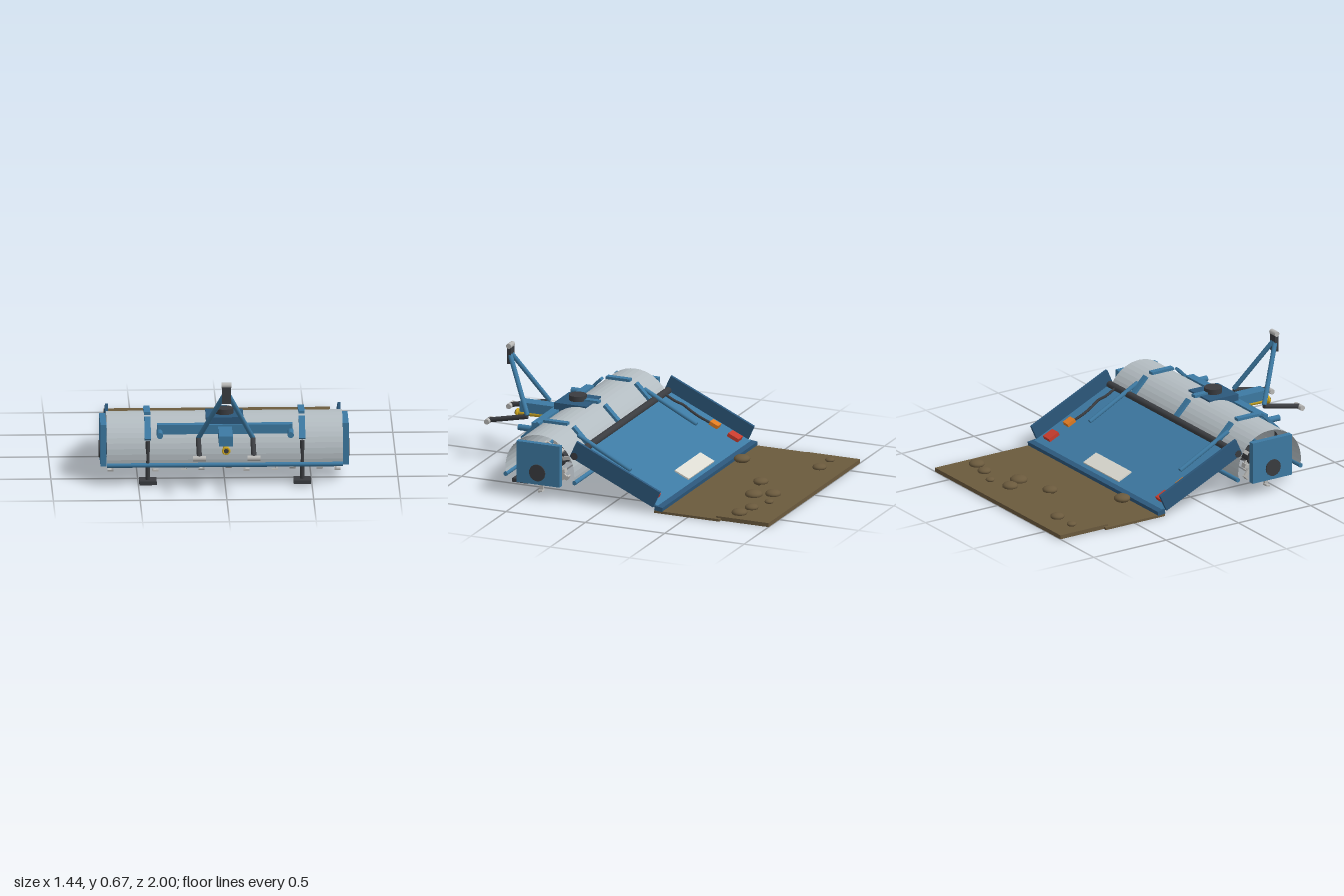
import * as THREE from 'three';

const mat = (name, color, opts = {}) => {
  const m = new THREE.MeshStandardMaterial({ color, ...opts });
  m.name = name;
  return m;
};

export function createModel() {
  const root = new THREE.Group();
  root.name = 'rotaryTiller';
  const blue = mat('blue', 0x3d7aa3);
  const darkBlue = mat('darkBlue', 0x2c587c);
  const hoodGrey = mat('hoodGrey', 0xb3bcc1, { side: THREE.DoubleSide, flatShading: true });
  const steel = mat('steel', 0xb9b9b7);
  const dark = mat('charcoal', 0x3a3c40);
  const soilBrown = mat('soilBrown', 0x6b5a3d);
  const yellow = mat('yellow', 0xd2ab22);
  const red = mat('red', 0xc93c2e);
  const orange = mat('orange', 0xe07b22);
  const cream = mat('cream', 0xdcdbd2);

  const add = (name, geo, m, x = 0, y = 0, z = 0, parent = root) => {
    const mesh = new THREE.Mesh(geo, m);
    mesh.name = name;
    mesh.position.set(x, y, z);
    parent.add(mesh);
    return mesh;
  };
  const box = (name, m, w, h, d, x, y, z, parent) =>
    add(name, new THREE.BoxGeometry(w, h, d), m, x, y, z, parent);
  // round bar between two points
  const bar = (name, m, r, a, b, parent, sides = 14) => {
    const p = new THREE.Vector3(...a), q = new THREE.Vector3(...b);
    const mesh = add(name, new THREE.CylinderGeometry(r, r, p.distanceTo(q), sides), m, 0, 0, 0, parent);
    mesh.position.copy(p).add(q).multiplyScalar(0.5);
    mesh.quaternion.setFromUnitVectors(new THREE.Vector3(0, 1, 0), q.sub(p).normalize());
    return mesh;
  };

  const CY = 0.16, CZ = 0.428, R = 0.217; // rotor axis and hood radius

  // Open arched hood with edge rods
  const hoodGeo = new THREE.CylinderGeometry(R, R, 1.36, 24, 1, true, -0.21, Math.PI + 0.42);
  hoodGeo.rotateZ(Math.PI / 2);
  add('hood', hoodGeo, hoodGrey, 0, CY, CZ);
  for (const z of [CZ - R, CZ + R]) bar('hoodEdgeRod', blue, 0.013, [-0.68, 0.115, z], [0.68, 0.115, z]);

  // Straps laid over the hood in three straight pieces
  for (const x of [-0.445, 0, 0.445]) {
    for (const deg of [45, 90, 135]) {
      const a = THREE.MathUtils.degToRad(deg);
      const strap = box('hoodStrap', blue, 0.036, 0.016, 0.15, x,
        CY + 0.227 * Math.sin(a), CZ + 0.227 * Math.cos(a));
      strap.rotation.x = Math.PI / 2 - a;
    }
  }

  // End plates, bearings, stands, lift links and mast struts, mirrored
  for (const s of [-1, 1]) {
    box('endPlate', blue, 0.035, 0.248, 0.272, s * 0.698, 0.212, 0.425);
    bar('bearingCap', dark, 0.05, [s * 0.7, CY, CZ], [s * 0.722, CY, CZ], root, 24);

    bar('standLeg', dark, 0.013, [s * 0.445, 0.02, 0.635], [s * 0.445, 0.255, 0.635]);
    box('standFoot', dark, 0.1, 0.022, 0.1, s * 0.445, 0.018, 0.635);

    bar('hitchPin', blue, 0.018, [s * 0.377, 0.302, 0.57], [s * 0.377, 0.302, 0.695]);
    bar('mastStrut', blue, 0.014, [s * 0.157, 0.3, 0.738], [s * 0.01, 0.605, 0.912]);
    bar('lowerLink', dark, 0.015, [s * 0.157, 0.295, 0.737], [s * 0.157, 0.242, 0.98]);
    bar('linkBall', steel, 0.016, [s * 0.157 - 0.037, 0.24, 0.98], [s * 0.157 + 0.037, 0.24, 0.98]);
  }

  // Headstock, gearbox and drive shaft
  box('crossBeam', blue, 0.78, 0.055, 0.05, 0, 0.317, 0.585);
  box('drawbar', blue, 0.08, 0.058, 0.26, 0, 0.305, 0.71);
  box('gearbox', darkBlue, 0.216, 0.172, 0.2, 0, 0.298, 0.492);
  bar('gearboxCap', dark, 0.052, [0, 0.38, 0.49], [0, 0.415, 0.49], root, 24);
  box('mastHead', dark, 0.05, 0.1, 0.024, 0, 0.6, 0.913);
  bar('mastPin', steel, 0.016, [-0.029, 0.658, 0.913], [0.029, 0.658, 0.913]);
  bar('shaftGuard', yellow, 0.016, [0, 0.264, 0.6], [0, 0.257, 0.87]);
  const ring = add('guardRing', new THREE.TorusGeometry(0.019, 0.006, 8, 20), yellow, 0, 0.257, 0.868);
  ring.scale.z = 1.4;
  bar('shaftEnd', dark, 0.013, [0, 0.257, 0.85], [0, 0.2565, 0.882]);

  // Rotor with L-shaped tines
  const rotor = new THREE.Group();
  rotor.name = 'rotor';
  rotor.position.set(0, CY, CZ);
  root.add(rotor);
  bar('rotorShaft', dark, 0.035, [-0.69, 0, 0], [0.69, 0, 0], rotor, 18);
  for (let i = 0; i < 13; i++) {
    const x = (i - 6) * 0.105;
    bar('tineFlange', dark, 0.05, [x - 0.008, 0, 0], [x + 0.008, 0, 0], rotor, 18);
    for (let k = 0; k < 4; k++) {
      const tine = new THREE.Group();
      tine.name = 'tine';
      tine.position.x = x;
      tine.rotation.x = k * Math.PI / 2 + i * 0.65;
      rotor.add(tine);
      const side = k % 2 ? 1 : -1;
      box('tineShank', steel, 0.012, 0.09, 0.022, side * 0.012, 0.08, 0, tine);
      const foot = box('tineFoot', steel, 0.036, 0.01, 0.026, side * 0.024, 0.126, 0.004, tine);
      foot.rotation.x = 0.25;
    }
  }

  // Sloping tail board with side walls
  const tail = new THREE.Group();
  tail.name = 'tailBoard';
  tail.position.set(0, 0.152, -0.02);
  tail.rotation.x = -0.427;
  root.add(tail);
  box('board', blue, 1.33, 0.018, 0.61, 0, 0.009, -0.02, tail);
  box('plate', cream, 0.365, 0.009, 0.098, -0.003, 0.0225, -0.235, tail);
  for (const s of [-1, 1]) {
    box('sideWall', darkBlue, 0.018, 0.106, 0.575, s * 0.67, 0.053, 0, tail);
    box('redLight', red, 0.064, 0.022, 0.072, s * 0.585, 0.029, -0.23, tail);
    box('orangeLight', orange, 0.05, 0.022, 0.056, s * 0.585, 0.029, -0.092, tail);
    const path = new THREE.CatmullRomCurve3([
      [0.575, -0.07], [0.568, 0.0], [0.576, 0.07], [0.59, 0.13], [0.578, 0.18], [0.583, 0.25],
    ].map(([x, z]) => new THREE.Vector3(s * x, 0.026, z)));
    add('lightCable', new THREE.TubeGeometry(path, 30, 0.008, 8), dark, 0, 0, 0, tail);
    // support rods from hood to board
    bar('supportRod', blue, 0.013, [s * 0.47, 0.335, 0.28], [s * 0.47, 0.165, -0.052]);
  }
  bar('hingeTube', dark, 0.022, [-0.68, 0.277, 0.213], [0.68, 0.277, 0.213], root, 18);
  box('tailLip', darkBlue, 1.354, 0.026, 0.05, 0, 0.027, -0.317).rotation.x = -0.12;

  // Tilled soil with clods
  box('tilledSoil', soilBrown, 1.35, 0.014, 0.41, 0, 0.007, -0.495);
  box('farSoil', soilBrown, 1.305, 0.024, 0.33, 0, 0.012, -0.835);
  const clods = [
    [-0.55, -0.855, 0.028], [-0.402, -0.855, 0.041], [0.157, -0.81, 0.046],
    [0.303, -0.85, 0.027], [0.44, -0.8, 0.04], [0.557, -0.775, 0.046],
    [0.213, -0.713, 0.051], [-0.022, -0.653, 0.044], [-0.366, -0.383, 0.048],
  ];
  for (const [x, z, r] of clods) {
    const clod = add('soilClod', new THREE.SphereGeometry(r, 16, 10), soilBrown, x, 0.032, z);
    clod.scale.y = 0.5;
  }
  return root;
}
